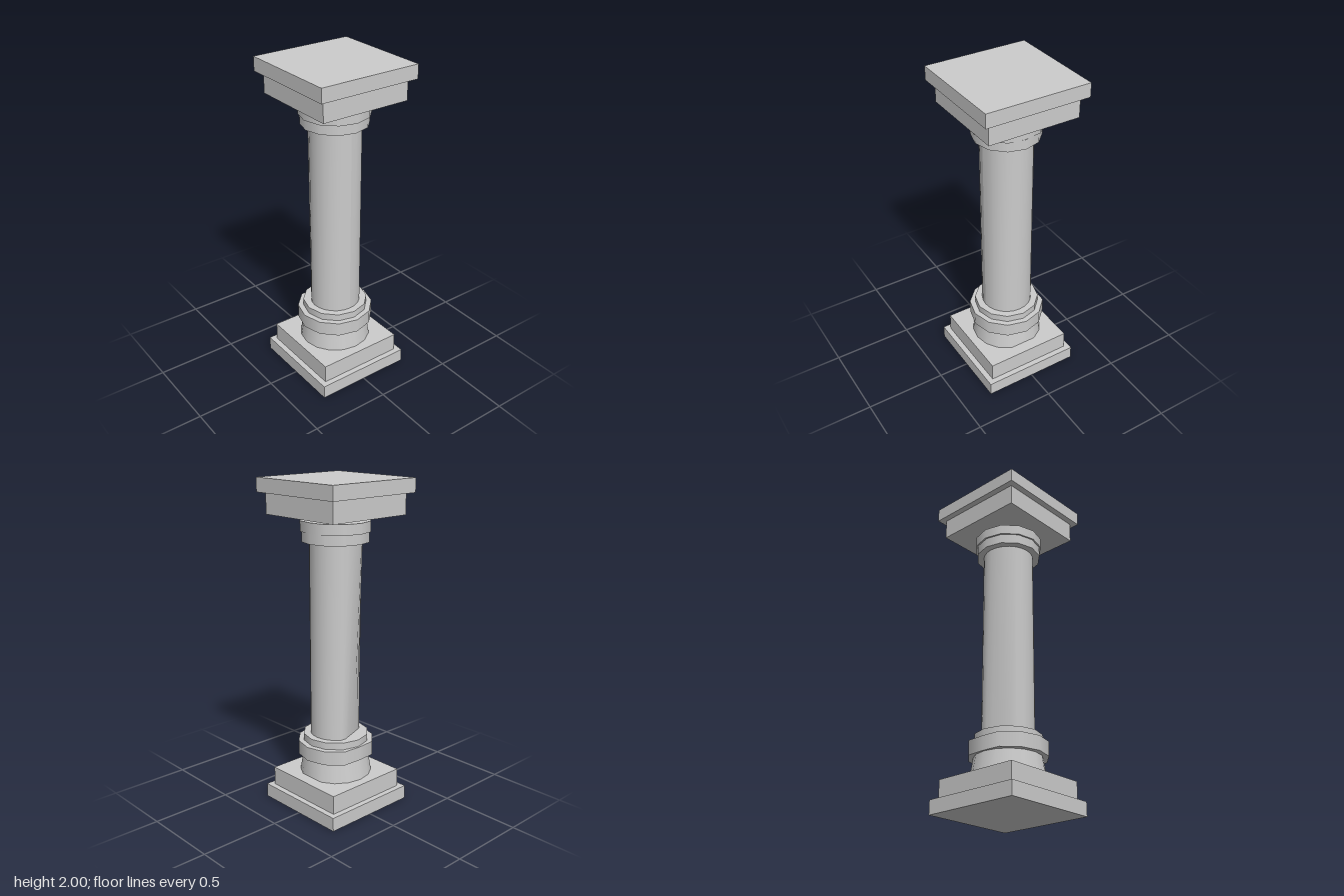
import * as THREE from 'three';

const material = new THREE.MeshStandardMaterial({ color: 0xcccccc });

// Square slab centred on the column axis
function slab(name, half, y0, y1) {
  const mesh = new THREE.Mesh(new THREE.BoxGeometry(half * 2, y1 - y0, half * 2), material);
  mesh.position.y = (y0 + y1) / 2;
  mesh.name = name;
  return mesh;
}

// Round drum with worn sides: vertices beyond the given limits are pressed flat
function drum(name, rTop, rBottom, y0, y1, sides, xMax = 1, zMin = -1) {
  const geometry = new THREE.CylinderGeometry(rTop, rBottom, y1 - y0, sides);
  const p = geometry.attributes.position;
  for (let i = 0; i < p.count; i++) {
    p.setX(i, Math.min(p.getX(i), xMax));
    p.setZ(i, Math.max(p.getZ(i), zMin));
  }
  const mesh = new THREE.Mesh(geometry, material);
  mesh.position.y = (y0 + y1) / 2;
  mesh.name = name;
  return mesh;
}

// Shaft whose foot is chipped to a slanting flat at the back
function shaft(y0, y1) {
  const mesh = drum('shaft', 0.155, 0.155, y0, y1, 24);
  const p = mesh.geometry.attributes.position;
  const nx = -0.342, nz = -0.94, limit = 0.112;
  for (let i = 0; i < p.count; i++) {
    const over = p.getX(i) * nx + p.getZ(i) * nz - limit;
    if (p.getY(i) < 0 && over > 0) {
      p.setX(i, p.getX(i) - nx * over);
      p.setZ(i, p.getZ(i) - nz * over);
    }
  }
  mesh.geometry.computeVertexNormals();
  return mesh;
}

export function createModel() {
  const column = new THREE.Group();
  column.name = 'column';
  column.add(
    // Stepped square base
    slab('lowerPlinth', 0.308, 0, 0.085),
    slab('upperPlinth', 0.273, 0.085, 0.2),
    // Tapered foot and its rings
    drum('taperedFoot', 0.2, 0.22, 0.2, 0.325, 16, 0.2),
    drum('wideRing', 0.234, 0.234, 0.325, 0.412, 12, 1, -0.21),
    drum('upperFootRing', 0.2, 0.2, 0.412, 0.455, 12),
    shaft(0.455, 1.64),
    // Neck rings, with a narrow gap below the capital
    drum('lowerNeckRing', 0.2, 0.2, 1.64, 1.7, 12),
    drum('upperNeckRing', 0.21, 0.21, 1.7, 1.762, 12, 0.197),
    // Square capital
    slab('capitalBlock', 0.283, 1.79, 1.916),
    slab('capitalSlab', 0.32, 1.916, 2)
  );
  return column;
}
